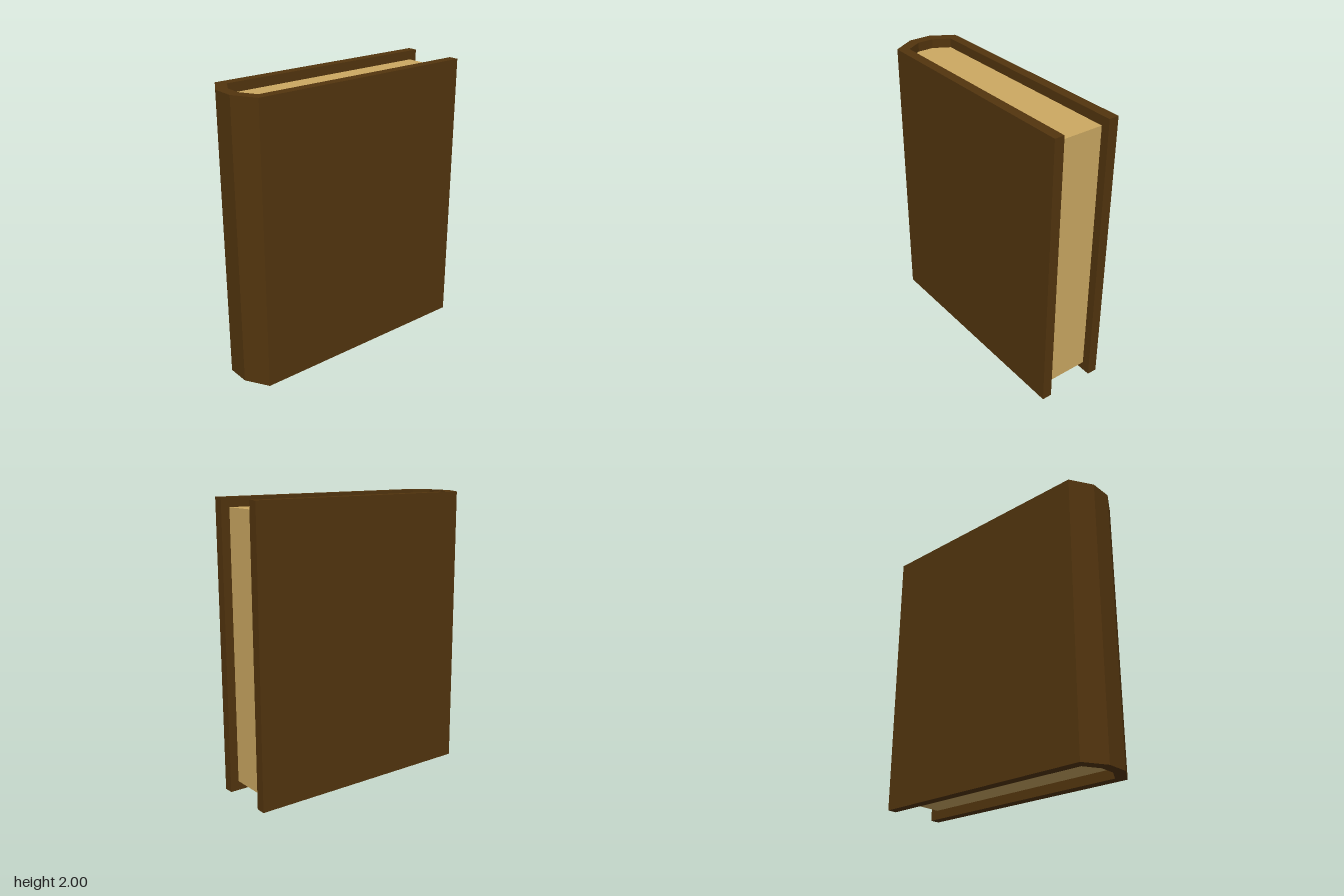
import * as THREE from 'three';

// Extrude a plan outline of [x, z] points upward from y0 to y1
function prism(points, y0, y1, material, name) {
  const shape = new THREE.Shape(points.map(([x, z]) => new THREE.Vector2(x, -z)));
  const geometry = new THREE.ExtrudeGeometry(shape, { depth: y1 - y0, bevelEnabled: false });
  geometry.rotateX(-Math.PI / 2);
  geometry.translate(0, y0, 0);
  const mesh = new THREE.Mesh(geometry, material);
  mesh.name = name;
  return mesh;
}

// Complete a half outline (+x side, back to front) with its mirror image
const mirror = (half) => [...half, ...half.map(([x, z]) => [-x, z]).reverse()];

export function createModel() {
  const leather = new THREE.MeshStandardMaterial({ color: 0x53350e });
  leather.name = 'brown leather';
  const paper = new THREE.MeshStandardMaterial({ color: 0xcca962 });
  paper.name = 'aged paper';

  const book = new THREE.Group();
  book.name = 'book';

  // Cover: two boards joined by a faceted rounded spine
  const outer = [[0.243, -0.89], [0.243, 0.795], [0.081, 0.89]];
  const inner = [[0.172, -0.89], [0.172, 0.75], [0.058, 0.815]];
  const outerLoop = mirror(outer);
  const innerLoop = mirror(inner).reverse();
  book.add(prism([...outerLoop, ...innerLoop], 0, 2, leather, 'cover'));

  // Page block, set in from the top, bottom and fore edge
  const pages = [[0.172, -0.83], ...inner.slice(1)];
  book.add(prism(mirror(pages), 0.065, 1.935, paper, 'pages'));

  return book;
}
